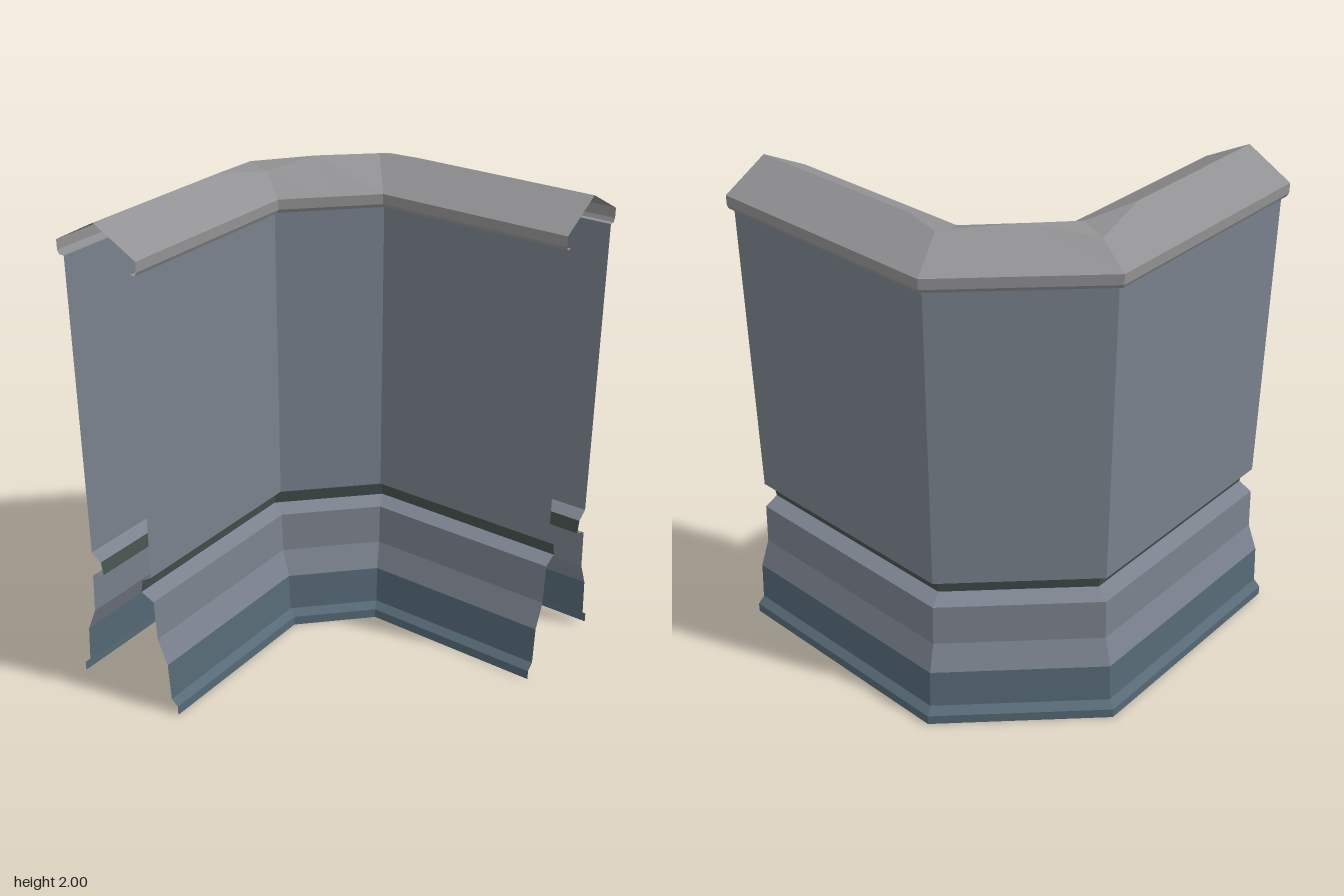
import * as THREE from 'three';

// Plan of the wall: offset d runs from the centre line, positive to the outside of the corner
const MID = 0.505, END = 0.757;
const bendA = d => [0.125 + 0.49 * d, -MID - d];
const bendB = d => [MID + d, -0.125 - 0.49 * d];
const middle = d => bendA(d).map((v, k) => (v + bendB(d)[k]) / 2);

// Stations along the wall, each with the coping's crest points; the crest splits at the bends
const station = (at, outerCrest, innerCrest = outerCrest) => ({ at, outerCrest, innerCrest });
const stations = [
  station(d => [-END, -MID - d], [-END, 2, -MID]),
  station(d => [-0.09, -MID - d], [-0.09, 2, -MID]),
  station(bendA, [0.17, 1.97, -0.56], [0.11, 1.97, -0.43]),
  station(middle, [0.3, 2, -0.34]),
  station(bendB, [0.53, 1.987, -0.14], [0.49, 1.992, -0.17]),
  station(d => [MID + d, 0.0], [MID, 2, 0.0]),
  station(d => [MID + d, END], [MID, 2, END]),
];

const paint = color => new THREE.MeshStandardMaterial({
  color, flatShading: true, side: THREE.DoubleSide,
});
const stone = paint(0x7b828e), footing = paint(0x576a77);
const recess = paint(0x46524f), cap = paint(0x929294);

// Sweeps a profile of [d, y] points and crest names through the stations
function sweep(name, material, profile) {
  const rings = stations.map(s => profile.map(point => {
    if (typeof point === 'string') return new THREE.Vector3(...s[point]);
    const [x, z] = s.at(point[0]);
    return new THREE.Vector3(x, point[1], z);
  }));
  const points = [];
  for (let i = 0; i < rings.length - 1; i++) {
    for (let j = 0; j < profile.length - 1; j++) {
      const a = rings[i][j], b = rings[i + 1][j];
      const c = rings[i + 1][j + 1], e = rings[i][j + 1];
      // Where the two crests meet, the triangle has no area and is left out
      for (const t of [[a, c, b], [a, e, c]]) {
        if (new THREE.Triangle(...t).getArea() > 1e-7) points.push(...t);
      }
    }
  }
  const geometry = new THREE.BufferGeometry().setFromPoints(points);
  geometry.computeVertexNormals();
  const mesh = new THREE.Mesh(geometry, material);
  mesh.name = name;
  return mesh;
}

// The same profile on the inside of the corner, running downwards
const mirrored = profile => profile.map(([d, y]) => [-d, y]).reverse();

export function createModel() {
  const group = new THREE.Group();
  group.name = 'cornerWall';

  // Stepped footing, plinth, recessed groove and plain wall, on both sides of the hollow wall
  const parts = [
    ['Footing', footing, [[0.252, 0], [0.252, 0.04], [0.222, 0.065], [0.212, 0.225]]],
    ['Plinth', stone, [[0.212, 0.225], [0.168, 0.33], [0.16, 0.5], [0.1, 0.525]]],
    ['Groove', recess, [[0.1, 0.525], [0.11, 0.58]]],
    ['Wall', stone, [[0.11, 0.58], [0.155, 0.61], [0.157, 1.845]]],
  ];
  for (const [name, material, profile] of parts) {
    group.add(sweep('outer' + name, material, profile));
    group.add(sweep('inner' + name, material, mirrored(profile)));
  }

  // Pitched coping with a short eave
  const eave = [[0.157, 1.845], [0.18, 1.845], [0.188, 1.86], [0.188, 1.9]];
  group.add(sweep('coping', cap, [...eave, 'outerCrest', 'innerCrest', ...mirrored(eave)]));
  return group;
}
